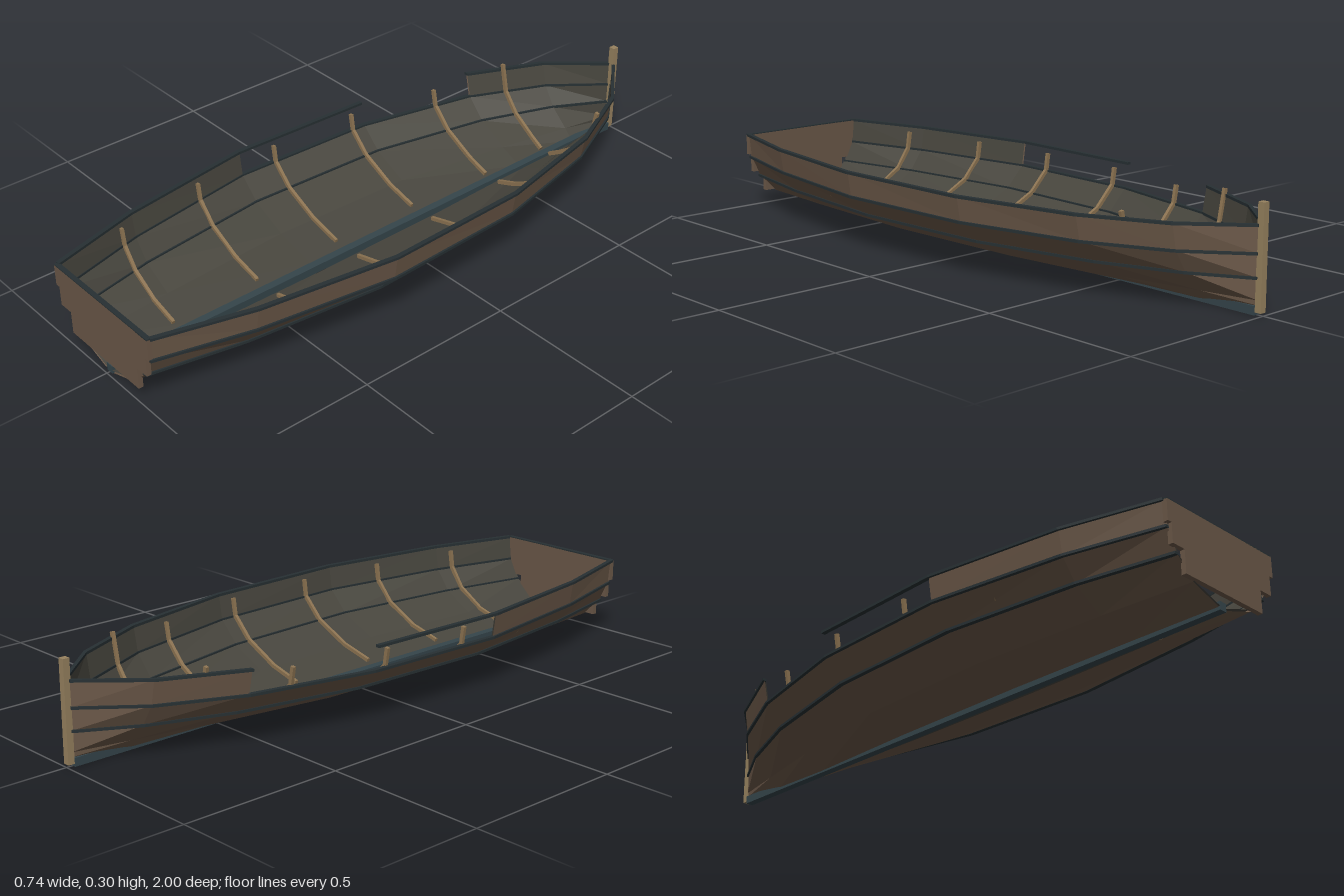
import * as THREE from 'three';

const mat = (color) => new THREE.MeshStandardMaterial({ color, flatShading: true, side: THREE.DoubleSide });
const M = {
  outer: mat(0x6b5848), inner: mat(0x48463e), rail: mat(0x273033),
  keel: mat(0x35454b), rib: mat(0x8d7452), stem: mat(0x97825f),
};

// Hull stations from transom to bow: half-widths at each strake edge
const HEIGHTS = [0.006, 0.04, 0.1, 0.165, 0.24];
const STATIONS = [
  { z: 0.99, x: [0.018, 0.12, 0.18, 0.212, 0.22] },
  { z: 0.7, x: [0.025, 0.145, 0.24, 0.288, 0.3] },
  { z: 0.27, x: [0.03, 0.17, 0.288, 0.352, 0.363] },
  { z: -0.2, x: [0.026, 0.155, 0.27, 0.335, 0.348] },
  { z: -0.58, x: [0.013, 0.09, 0.19, 0.25, 0.266] },
  { z: -0.82, x: [0.005, 0.04, 0.1, 0.14, 0.155] },
  { z: -0.985, x: [0.004, 0.005, 0.006, 0.007, 0.008] },
];
const edgePoint = (s, e, inset = 0) => new THREE.Vector3(
  Math.max(s.x[e] - inset, 0.002), HEIGHTS[e] + (e < 2 ? inset : 0) + (e === 0 && s.z < -0.9 ? 0.02 : 0), s.z);

// Interpolated half-widths at any z
function sectionAt(z) {
  const i = Math.max(0, STATIONS.findIndex((s, k) => k < STATIONS.length - 1 && STATIONS[k + 1].z <= z));
  const a = STATIONS[i], b = STATIONS[i + 1], t = (a.z - z) / (a.z - b.z);
  return { z, x: a.x.map((v, e) => v + (b.x[e] - v) * t) };
}

// Skin a list of point rings; closed rings also get end caps
function loft(rings, closed) {
  const n = rings[0].length, index = [];
  for (let i = 0; i < rings.length - 1; i++) {
    for (let j = 0; j < (closed ? n : n - 1); j++) {
      const a = i * n + j, b = i * n + (j + 1) % n;
      index.push(a, b, a + n, b, b + n, a + n);
    }
  }
  if (closed) {
    const l = (rings.length - 1) * n;
    index.push(0, 2, 1, 0, 3, 2, l, l + 1, l + 2, l, l + 2, l + 3);
  }
  const g = new THREE.BufferGeometry().setFromPoints(rings.flat());
  g.setIndex(index);
  g.computeVertexNormals();
  return g;
}

function add(parent, name, geometry, material) {
  const mesh = new THREE.Mesh(geometry, material);
  mesh.name = name;
  parent.add(mesh);
  return mesh;
}

function box(parent, name, material, w, y0, y1, z0, z1) {
  add(parent, name, new THREE.BoxGeometry(w, y1 - y0, z1 - z0), material)
    .position.set(0, (y0 + y1) / 2, (z0 + z1) / 2);
}

// Rectangular strip following a strake edge
function railGeometry(stations, e) {
  return loft(stations.map((s) => {
    const p = edgePoint(s, e), w = 0.007, h = 0.004;
    return [[-w, -h], [w, -h], [w, h], [-w, h]].map(([x, y]) => new THREE.Vector3(p.x + x, p.y + y, p.z));
  }), true);
}

// Bent rib on the inside of the planking
function ribGeometry(path, z) {
  const w = 0.005, t = 0.012;
  return loft(path.map((p, i) => {
    const a = path[Math.max(i - 1, 0)], b = path[Math.min(i + 1, path.length - 1)];
    const n = new THREE.Vector2(-(b.y - a.y), b.x - a.x).normalize().multiplyScalar(t);
    return [[0, -w], [0, w], [1, w], [1, -w]].map(([k, dz]) =>
      new THREE.Vector3(p.x + n.x * k, p.y + n.y * k, z + dz));
  }), true);
}

function ribPath(z) {
  const s = sectionAt(z), bow = z < -0.6;
  const pts = s.x.map((x, e) => new THREE.Vector2(x - 0.004, HEIGHTS[e] + (e < 2 ? 0.004 : 0)));
  const start = pts[0].clone().lerp(pts[1], bow ? 0.3 : 0.2);
  const top = pts[3].clone().lerp(pts[4], bow ? 1.25 : 0.75);
  return [start, pts[1], pts[2], pts[3], top];
}

function buildSide(name, damaged) {
  const side = new THREE.Group();
  side.name = name;
  // Planking, outer and inner skins; the damaged side lacks two top planks
  for (let e = 0; e < 4; e++) {
    const runs = damaged && e === 3 ? [STATIONS.slice(0, 3), STATIONS.slice(4)] : [STATIONS];
    for (const run of runs) {
      for (const [skin, inset] of [['outerPlank', 0], ['innerPlank', 0.005]]) {
        add(side, skin, loft(run.map((s) => [edgePoint(s, e, inset), edgePoint(s, e + 1, inset)]), false),
          inset ? M.inner : M.outer);
      }
    }
  }
  // Lap rails and gunwale
  for (const e of [2, 3, 4]) {
    const runs = damaged && e === 4 ? [STATIONS.slice(0, 4), STATIONS.slice(4)] : [STATIONS];
    for (const run of runs) add(side, e === 4 ? 'gunwale' : 'lapRail', railGeometry(run, e), M.rail);
  }
  // Ribs
  for (const z of [0.75, 0.45, 0.15, -0.15, -0.45, -0.69]) {
    add(side, 'rib', ribGeometry(ribPath(z), z), M.rib);
  }
  return side;
}

export function createModel() {
  const boat = new THREE.Group();
  boat.name = 'rowingBoat';
  const left = buildSide('leftSide', false), right = buildSide('rightSide', true);
  right.scale.x = -1;
  boat.add(left, right);

  // Stepped transom board
  const half = [[0.16, 0.045], [0.16, 0.115], [0.207, 0.115], [0.207, 0.175], [0.222, 0.175], [0.222, 0.24]];
  const outline = [...half, ...half.map(([x, y]) => [-x, y]).reverse()];
  const transom = new THREE.ExtrudeGeometry(
    new THREE.Shape(outline.map(([x, y]) => new THREE.Vector2(x, y))), { depth: 0.015, bevelEnabled: false });
  add(boat, 'transom', transom, M.outer).position.z = 0.985;
  box(boat, 'transomCap', M.rail, 0.444, 0.239, 0.243, 0.985, 1);

  // Keel and stem post
  box(boat, 'keel', M.keel, 0.025, 0, 0.025, -0.98, 0.99);
  box(boat, 'stemPost', M.stem, 0.02, 0.008, 0.302, -1, -0.98);
  return boat;
}
